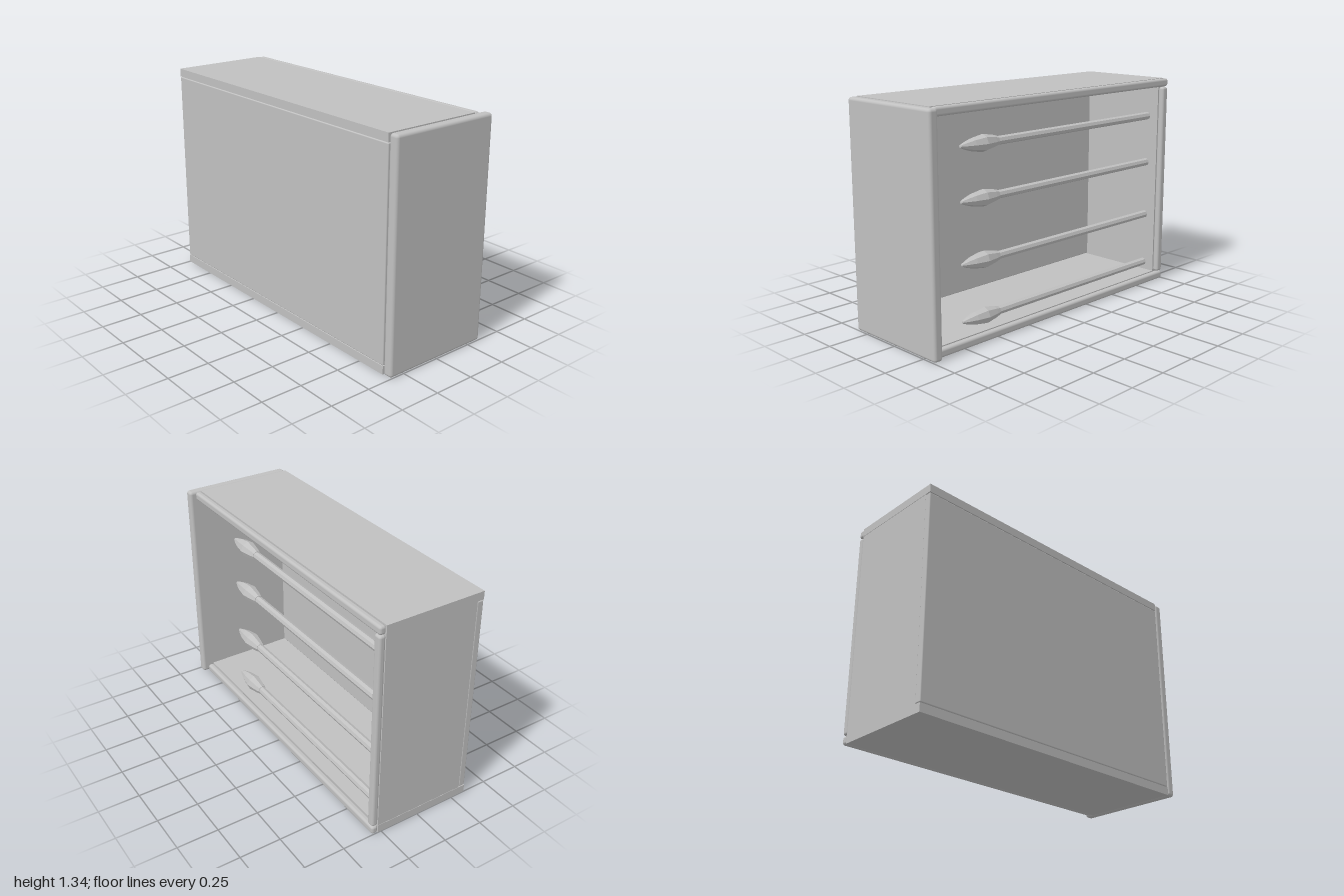
import * as THREE from 'three';
import { RoundedBoxGeometry } from 'three/addons/geometries/RoundedBoxGeometry.js';

export function createModel() {
  const model = new THREE.Group();
  const grey = new THREE.MeshStandardMaterial({ color: 0xc0c0c0 });
  grey.name = 'grey';
  const facetedGrey = grey.clone();
  facetedGrey.flatShading = true;

  // Box between two corners, with an optional edge radius
  function panel(name, [x0, y0, z0], [x1, y1, z1], radius = 0) {
    const size = [x1 - x0, y1 - y0, z1 - z0];
    const geometry = radius
      ? new RoundedBoxGeometry(...size, 4, radius)
      : new THREE.BoxGeometry(...size);
    const mesh = new THREE.Mesh(geometry, grey);
    mesh.name = name;
    mesh.position.set((x0 + x1) / 2, (y0 + y1) / 2, (z0 + z1) / 2);
    model.add(mesh);
  }

  const L = -0.345, seam = 0.272, edge = 0.312, H = 1.335, T = 0.05, zf = 0.938;

  // Case panels
  panel('frontPanel', [L, 0, 0.941], [0.345, H, 1], 0.018);
  panel('topPanel', [L, H - T, -1], [seam, H, zf]);
  panel('bottomPanel', [L, 0, -1], [seam, T, zf]);
  panel('sidePanel', [L, T + 0.003, -1], [-0.305, H - T - 0.003, zf], 0.006);
  panel('backPanel', [-0.306, T, -0.998], [seam, H - T, -0.95]);

  // Rounded edging around the open side
  panel('topEdging', [seam, H - T, -1], [edge, H, zf], 0.015);
  panel('bottomEdging', [seam, 0, -1], [edge, T, zf], 0.015);
  panel('backEdging', [seam, T + 0.004, -1], [edge, H - T - 0.004, -0.95], 0.015);

  // Rods with pointed faceted heads, fixed to the back panel
  const headProfile = [[0, 0.4], [0.028, 0.4], [0.036, 0.43], [0.05, 0.505], [0.038, 0.58], [0.023, 0.63], [0.008, 0.668], [0, 0.67]]
    .map(([r, z]) => new THREE.Vector2(r, z));
  const headGeometry = new THREE.LatheGeometry(headProfile, 8).rotateX(Math.PI / 2);
  const rodGeometry = new THREE.CylinderGeometry(0.025, 0.025, 1.37, 8)
    .rotateX(Math.PI / 2).translate(0, 0, -0.275);

  [0.1, 0.43, 0.783, 1.088].forEach((y, i) => {
    const rod = new THREE.Group();
    rod.name = `rod${i + 1}`;
    const shaft = new THREE.Mesh(rodGeometry, facetedGrey);
    shaft.name = 'rodShaft';
    const head = new THREE.Mesh(headGeometry, facetedGrey);
    head.name = 'rodHead';
    rod.add(shaft, head);
    rod.position.set(0.19, y, 0);
    model.add(rod);
  });

  return model;
}
